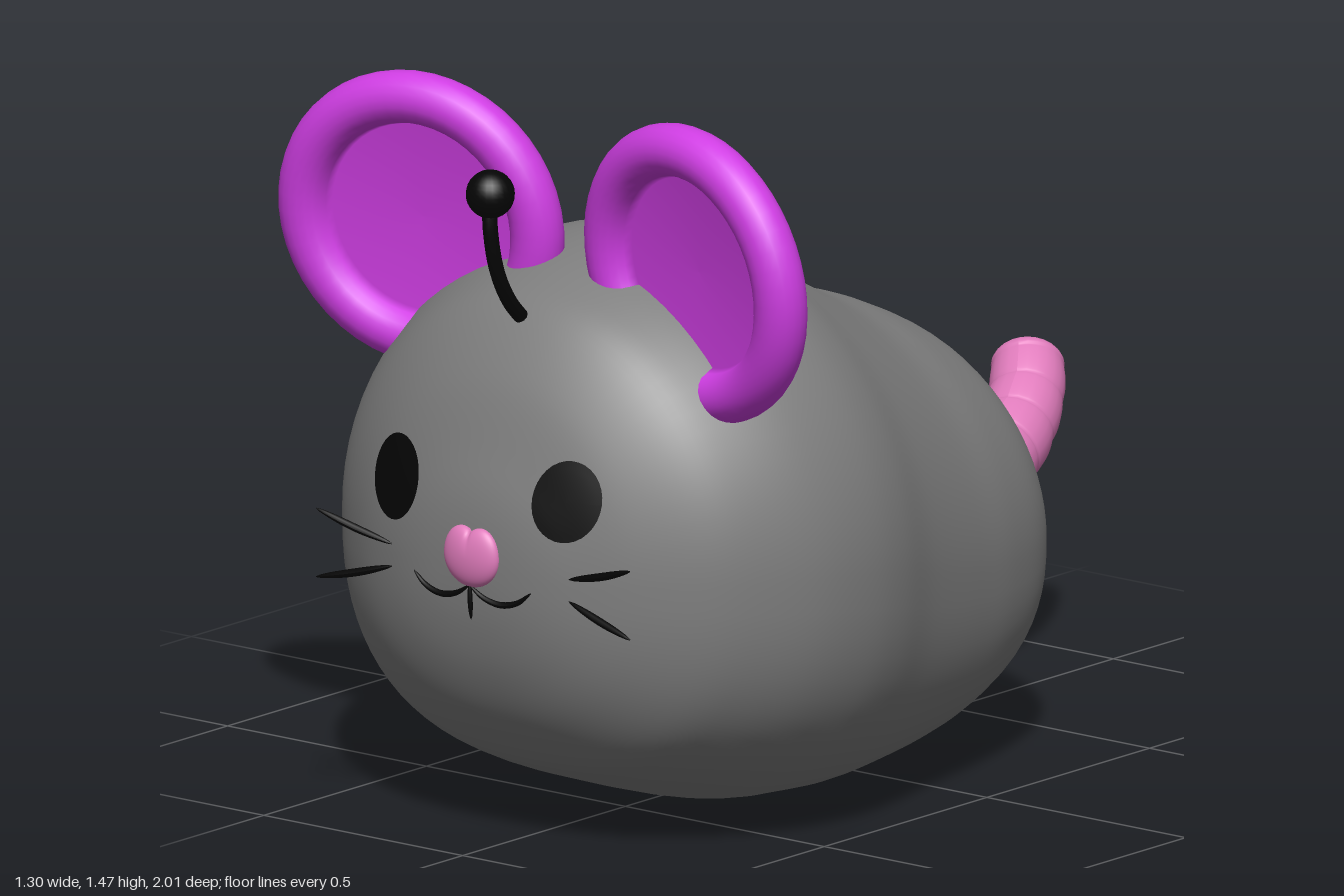
import * as THREE from 'three';

const mat = (name, color) => Object.assign(new THREE.MeshStandardMaterial({ color }), { name });
const V = (x, y, z) => new THREE.Vector3(x, y, z);

// Body stations, tail end to nose end: z, top, bottom, half width
const STATIONS = [
  [-0.485, 0.44, 0.44, 0], [-0.475, 0.53, 0.34, 0.115], [-0.445, 0.63, 0.265, 0.225],
  [-0.38, 0.745, 0.16, 0.335], [-0.29, 0.835, 0.09, 0.402], [-0.15, 0.905, 0.04, 0.452],
  [0, 0.96, 0.015, 0.488], [0.2, 1.065, 0.003, 0.537], [0.35, 1.14, 0.015, 0.583],
  [0.47, 1.168, 0.03, 0.597], [0.6, 1.15, 0.07, 0.58], [0.72, 1.11, 0.115, 0.525],
  [0.81, 1.055, 0.165, 0.455], [0.89, 0.94, 0.255, 0.345], [0.94, 0.8, 0.355, 0.235],
  [0.967, 0.7, 0.46, 0.13], [0.978, 0.58, 0.58, 0],
];
const heights = new THREE.CatmullRomCurve3(STATIONS.map(([z, t, b]) => V(t, b, z)), false, 'catmullrom');
const widths = new THREE.CatmullRomCurve3(STATIONS.map(([z, , , w]) => V(w, 0, z)), false, 'catmullrom');
const LOWER_POWER = 2.45; // the lower half is fuller than an ellipse

// Cross-section: depth, widest height, height above and below it, half width
function section(u) {
  const p = heights.getPoint(u), size = p.x - p.y;
  return { z: p.z, c: p.y + 0.465 * size, up: 0.535 * size, down: 0.465 * size, w: widths.getPoint(u).x };
}

// Depth of the face surface at a given x, y
function frontZ(x, y) {
  let lo = 0.55, hi = 1;
  for (let i = 0; i < 30; i++) {
    const mid = (lo + hi) / 2, s = section(mid), above = y > s.c;
    const n = above ? 2 : LOWER_POWER;
    const inside = Math.abs(x / s.w) ** n + Math.abs((y - s.c) / (above ? s.up : s.down)) ** n < 1;
    if (inside) lo = mid; else hi = mid;
  }
  return section(lo).z;
}

function bodyGeometry(rings = 96, sides = 72) {
  const pos = [], index = [];
  for (let i = 0; i <= rings; i++) {
    const s = section(i / rings);
    for (let j = 0; j < sides; j++) {
      const a = (j / sides) * Math.PI * 2, cos = Math.cos(a), sin = Math.sin(a);
      const e = sin < 0 ? 2 / LOWER_POWER : 1;
      pos.push(
        s.w * Math.sign(cos) * Math.abs(cos) ** e,
        s.c + (sin < 0 ? s.down : s.up) * Math.sign(sin) * Math.abs(sin) ** e,
        s.z,
      );
      if (i === rings) continue;
      const k = (j + 1) % sides, r = i * sides, n = r + sides;
      index.push(r + j, r + k, n + j, r + k, n + k, n + j);
    }
  }
  const g = new THREE.BufferGeometry();
  g.setAttribute('position', new THREE.Float32BufferAttribute(pos, 3));
  g.setIndex(index);
  g.computeVertexNormals();
  return g;
}

// Tube whose radius follows a rule along its length
function taperedTube(points, radiusAt, steps, sides) {
  const curve = new THREE.CatmullRomCurve3(points);
  const g = new THREE.TubeGeometry(curve, steps, 1, sides);
  const p = g.attributes.position, v = V(0, 0, 0);
  for (let i = 0; i <= steps; i++) {
    const c = curve.getPointAt(i / steps), r = radiusAt(i / steps);
    for (let j = 0; j <= sides; j++) {
      const k = i * (sides + 1) + j;
      v.fromBufferAttribute(p, k).sub(c).multiplyScalar(r).add(c);
      p.setXYZ(k, v.x, v.y, v.z);
    }
  }
  g.computeVertexNormals();
  return g;
}

// Thin oval plate that follows the face
function eyeGeometry(cx, cy, rx, ry) {
  const g = new THREE.RingGeometry(0.001, 1, 32, 6);
  const p = g.attributes.position;
  for (let i = 0; i < p.count; i++) {
    const x = cx + p.getX(i) * rx, y = cy + p.getY(i) * ry;
    p.setXYZ(i, x, y, frontZ(x, y) + 0.007);
  }
  g.computeVertexNormals();
  return g;
}

// Flat dome with a soft notch at the top
function noseGeometry() {
  const g = new THREE.SphereGeometry(1, 48, 32);
  const p = g.attributes.position;
  for (let i = 0; i < p.count; i++) {
    const x = p.getX(i), y = p.getY(i);
    const ry = y > 0 ? 0.046 + 0.028 * Math.sqrt(Math.abs(x)) : 0.062;
    p.setXYZ(i, x * 0.067, y * ry, p.getZ(i) * 0.026);
  }
  g.computeVertexNormals();
  return g;
}

export function createModel() {
  const grey = mat('grey fur', 0x7e7e7e);
  const purple = mat('purple ear', 0xd03ee4);
  const pink = mat('pink skin', 0xe07cbc);
  const black = mat('black', 0x050505);
  const model = new THREE.Group();
  model.name = 'mouse';
  const add = (name, geometry, material) => {
    const m = new THREE.Mesh(geometry, material);
    m.name = name;
    model.add(m);
    return m;
  };

  add('body', bodyGeometry(), grey);

  // Ears: dish with a thick rolled rim and a nearly flat back
  const profile = [[0, -0.044], [0.1, -0.042], [0.17, -0.036], [0.2, -0.037]].map((p) => new THREE.Vector2(...p));
  for (let i = 0; i <= 16; i++) {
    const a = -1.9 + (i / 16) * 4.8;
    profile.push(new THREE.Vector2(0.25 + 0.052 * Math.cos(a), 0.052 * Math.sin(a)));
  }
  profile.push(new THREE.Vector2(0.193, -0.005), new THREE.Vector2(0, -0.008));
  const earGeometry = new THREE.LatheGeometry(profile, 48).rotateX(Math.PI / 2).scale(1.025, 1, 1);
  for (const s of [-1, 1]) {
    const ear = add(s > 0 ? 'leftEar' : 'rightEar', earGeometry, purple);
    ear.position.set(s * 0.345, 1.17, 0.705);
    ear.rotation.set(0.11, -s * 0.19, 0);
  }

  // Antenna
  add('antennaStalk', new THREE.TubeGeometry(new THREE.CatmullRomCurve3([
    V(-0.006, 1.035, 0.8), V(-0.003, 1.09, 0.855), V(0.002, 1.16, 0.898), V(0.003, 1.24, 0.918), V(0, 1.31, 0.918),
  ]), 24, 0.015, 12), black);
  add('antennaBall', new THREE.SphereGeometry(0.048, 24, 16), black).position.set(0, 1.315, 0.915);

  // Eyes
  add('rightEye', eyeGeometry(-0.222, 0.716, 0.072, 0.083), black);
  add('leftEye', eyeGeometry(0.207, 0.733, 0.071, 0.079), black);

  // Nose
  add('nose', noseGeometry(), pink).position.set(0.002, 0.6, 0.974);

  // Mouth and whiskers: strokes pointed at the ends
  const stroke = (r) => (t) => r * Math.sqrt(Math.max(0.01, Math.sin(Math.PI * t)));
  for (const s of [-1, 1]) {
    const side = s > 0 ? 'left' : 'right';
    const onFace = (x, y) => V(s * x, y, Math.max(frontZ(x, y) + 0.004, 0.97));
    add(side + 'MouthCurve', taperedTube([
      onFace(0.147, 0.547), onFace(0.115, 0.523), onFace(0.075, 0.513), onFace(0.035, 0.521), onFace(0, 0.542),
    ], stroke(0.0065), 24, 8), black);
    for (const [y0, y1] of [[0.582, 0.631], [0.538, 0.493]]) {
      add(side + 'Whisker', taperedTube([
        V(s * 0.222, y0, 0.945), V(s * 0.31, (y0 + y1) / 2 - 0.003, 0.955), V(s * 0.395, y1, 0.968),
      ], stroke(0.008), 16, 8), black);
    }
  }
  add('mouthLine', taperedTube([V(0, 0.55, 0.979), V(0, 0.51, 0.977), V(0, 0.472, 0.974)], stroke(0.005), 12, 8), black);

  // Tail: shallow ribbed segments, blunt rounded tip
  const tailRadius = (t) => {
    const rib = 0.94 + 0.06 * Math.sqrt(Math.abs(Math.sin(Math.PI * t * 7.5)));
    const cap = Math.sqrt(Math.max(0, 1 - (Math.max(0, t - 0.93) / 0.07) ** 2));
    return (0.095 - 0.024 * t) * (t > 0.93 ? 0.995 : rib) * cap;
  };
  add('tail', taperedTube([
    V(-0.045, 0.42, -0.43), V(-0.05, 0.42, -0.54), V(-0.06, 0.432, -0.66),
    V(-0.085, 0.468, -0.78), V(-0.13, 0.53, -0.89), V(-0.192, 0.6, -0.972),
  ], tailRadius, 150, 24), pink);

  return model;
}
